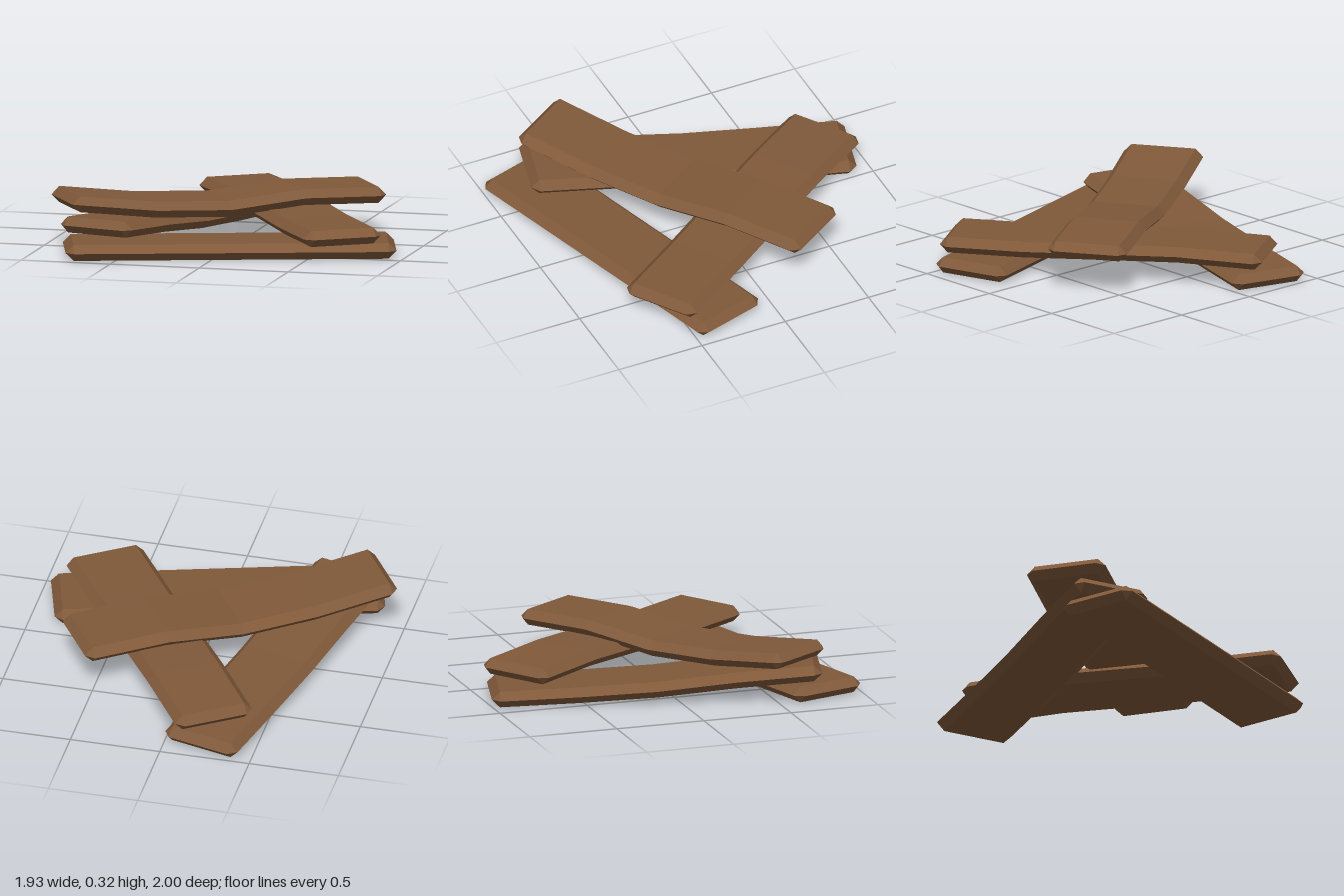
import * as THREE from 'three';

const LENGTH = 1.8, WIDTH = 0.445, HALF_T = 0.044, BEVEL = 0.044;

// Bevelled plank along x; lifts are the mid-heights at evenly spaced stations
function plankGeometry(lifts) {
  const hw = WIDTH / 2, iw = hw - BEVEL, inner = LENGTH / 2 - BEVEL;
  const hexagon = [[HALF_T, -iw], [0, -hw], [-HALF_T, -iw], [-HALF_T, iw], [0, hw], [HALF_T, iw]];
  const rings = lifts.map((lift, i) => {
    const x = -inner + (2 * inner * i) / (lifts.length - 1);
    return hexagon.map(([y, z]) => new THREE.Vector3(x, lift + y, z));
  });
  // each end closes to a ridge at mid-height
  const ridge = (x, lift) => hexagon.map(([, z]) => new THREE.Vector3(x, lift, Math.sign(z) * iw));
  rings.unshift(ridge(-LENGTH / 2, lifts[0]));
  rings.push(ridge(LENGTH / 2, lifts[lifts.length - 1]));

  const points = [];
  const triangle = (a, b, c) => {
    if (new THREE.Triangle(a, b, c).getArea() > 1e-8) points.push(a, b, c);
  };
  for (let k = 0; k < rings.length - 1; k++) {
    for (let i = 0; i < 6; i++) {
      const j = (i + 1) % 6;
      const a = rings[k][i], b = rings[k][j], c = rings[k + 1][j], d = rings[k + 1][i];
      triangle(a, c, b);
      triangle(a, d, c);
    }
  }
  const geometry = new THREE.BufferGeometry().setFromPoints(points);
  geometry.computeVertexNormals();
  return geometry;
}

export function createModel() {
  const group = new THREE.Group();
  group.name = 'plankPile';
  const wood = new THREE.MeshStandardMaterial({ color: 0x80593a, flatShading: true });

  const planks = [
    { name: 'bottomPlank', x: 0.05, z: 0.535, turn: 0.297, lifts: [0.046, 0.046, 0.046, 0.046, 0.046] },
    { name: 'leaningPlank', x: -0.428, z: -0.088, turn: -1.825, lifts: [0.045, 0.06, 0.082, 0.125, 0.156] },
    { name: 'crossPlank', x: 0.221, z: -0.112, turn: -0.979, lifts: [0.158, 0.168, 0.153, 0.136, 0.134] },
    { name: 'topPlank', x: -0.118, z: 0.121, turn: 0.582, lifts: [0.278, 0.225, 0.206, 0.247, 0.236] },
  ];
  for (const { name, x, z, turn, lifts } of planks) {
    const plank = new THREE.Mesh(plankGeometry(lifts), wood);
    plank.name = name;
    plank.position.set(x, 0, z);
    plank.rotation.y = turn;
    group.add(plank);
  }
  return group;
}
